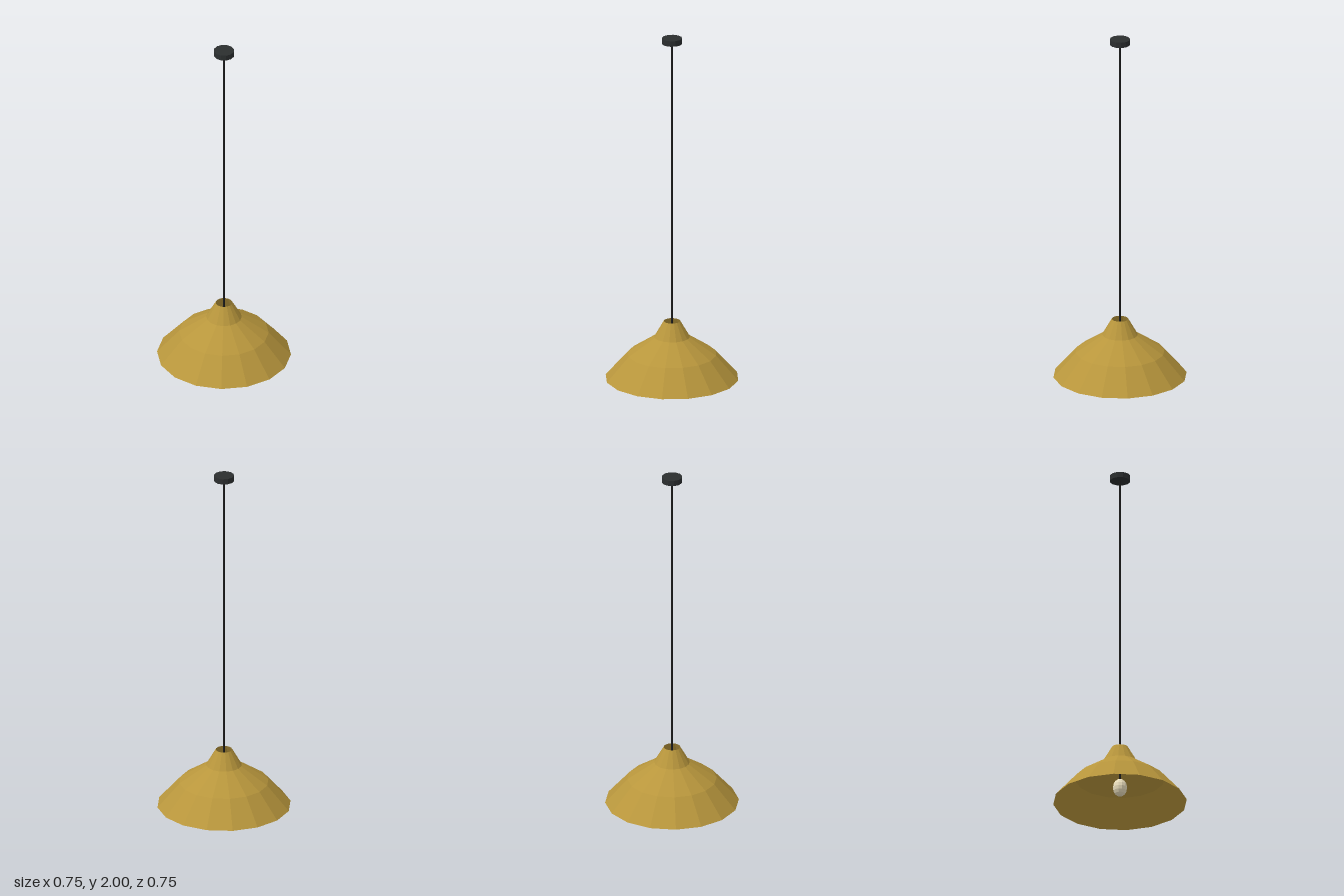
import * as THREE from 'three';

export function createModel() {
  const model = new THREE.Group();

  const add = (name, geometry, color, y = 0, side = THREE.FrontSide) => {
    const material = new THREE.MeshStandardMaterial({ color, flatShading: true, side });
    const mesh = new THREE.Mesh(geometry, material);
    mesh.name = name;
    mesh.position.y = y;
    model.add(mesh);
    return mesh;
  };

  // Faceted open shade, flaring in three bands from the neck to the rim
  const profile = [[0.373, 0], [0.249, 0.14], [0.099, 0.24], [0.046, 0.333]]
    .map(([r, y]) => new THREE.Vector2(r, y));
  add('shade', new THREE.LatheGeometry(profile, 16), 0xb8963c, 0, THREE.DoubleSide);

  // Ceiling mount
  add('ceilingMount', new THREE.CylinderGeometry(0.057, 0.057, 0.032, 12), 0x2b2e2f, 1.984);

  // Cord from the ceiling mount down to the bulb
  const cordBottom = 0.13, cordTop = 1.97;
  add('cord', new THREE.CylinderGeometry(0.005, 0.005, cordTop - cordBottom, 8), 0x1a1a1a,
    (cordTop + cordBottom) / 2);

  // Slightly elongated bulb inside the shade
  const bulb = add('bulb', new THREE.SphereGeometry(0.04, 12, 8), 0xeee2c0, 0.087);
  bulb.scale.y = 1.3;

  return model;
}
